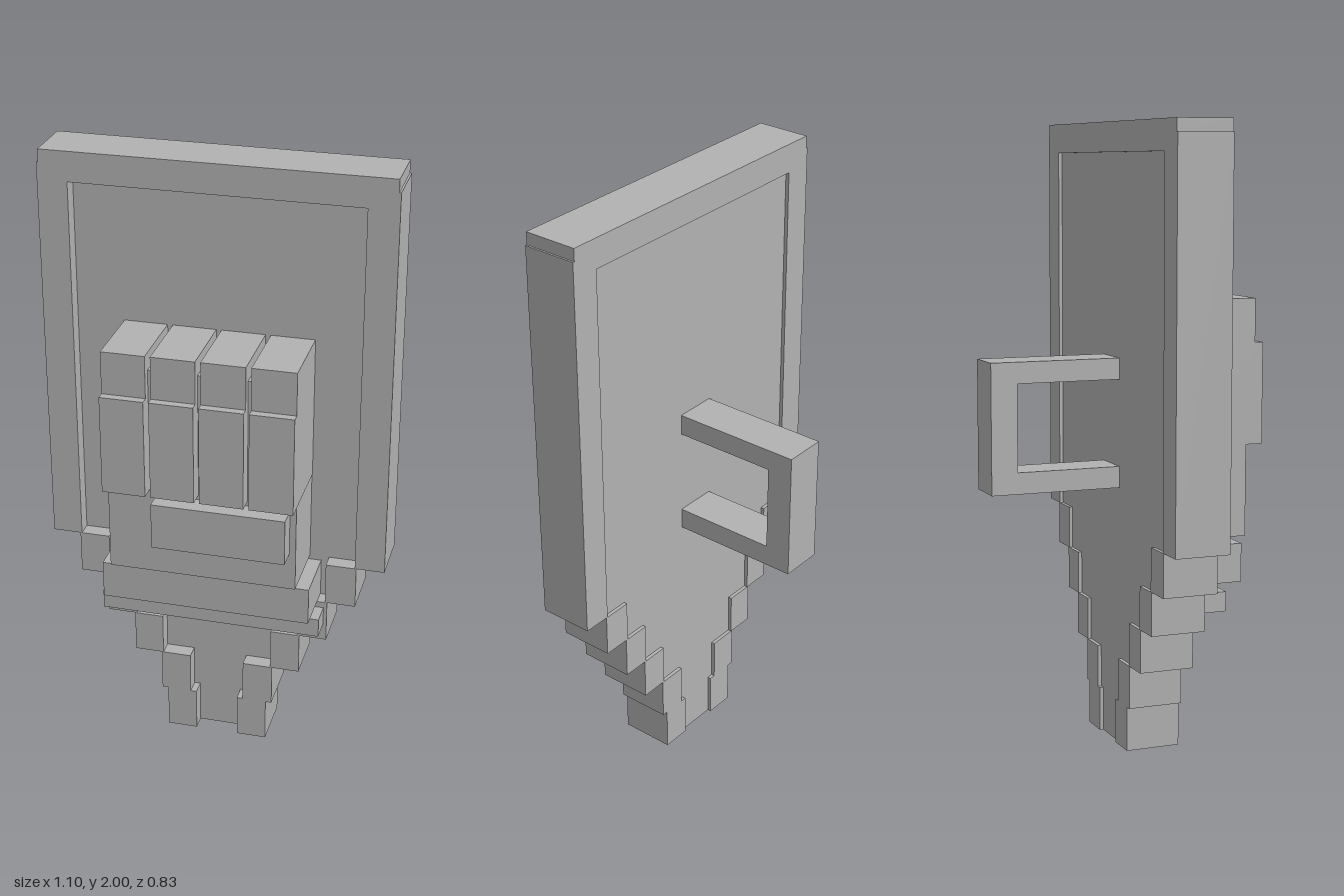
import * as THREE from 'three';

export function createModel() {
  const model = new THREE.Group();
  const grey = new THREE.MeshStandardMaterial({ color: 0xb2b2b2 });

  const add = (name, geometry, parent = model) => {
    const mesh = new THREE.Mesh(geometry, grey);
    mesh.name = name;
    parent.add(mesh);
    return mesh;
  };
  // Box from its minimum and maximum on each axis
  const block = (name, x0, x1, y0, y1, z0, z1, parent) =>
    add(name, new THREE.BoxGeometry(x1 - x0, y1 - y0, z1 - z0), parent)
      .position.set((x0 + x1) / 2, (y0 + y1) / 2, (z0 + z1) / 2);
  const plate = (name, points, z0, z1) => {
    const shape = new THREE.Shape(points.map(([x, y]) => new THREE.Vector2(x, y)));
    add(name, new THREE.ExtrudeGeometry(shape, { depth: z1 - z0, bevelEnabled: false }).translate(0, 0, z0));
  };
  const mirror = (points) => points.map(([x, y]) => [-x, y]).reverse();

  // Stepped rows of the shield, bottom to top: y0, y1, inner x, outer x
  const rows = [
    [0, 0.145, 0.07, 0.168],
    [0.145, 0.285, 0.09, 0.188],
    [0.285, 0.425, 0.183, 0.278],
    [0.425, 0.565, 0.272, 0.367],
    [0.565, 0.705, 0.36, 0.458],
    [0.705, 1.905, 0.453, 0.548],
  ];
  const inner = rows.flatMap(([y0, y1, x]) => [[x, y0], [x, y1]]);
  const outer = rows.flatMap(([y0, y1, , x]) => [[x, y0], [x, y1]]);
  outer[outer.length - 1] = [0.548, 1.96];
  outer.push([0.542, 1.96], [0.542, 2]);

  // Raised rim running around the shield, open at the bottom tip
  plate('shieldRim', [...outer, ...mirror(outer), ...mirror(inner).reverse(), ...[...inner].reverse()], 0, 0.18);
  // Recessed panel inside the rim
  plate('shieldPanel', [...inner, ...mirror(inner)], 0.012, 0.13);

  // Fist emblem: palm, four fingers with a stepped knuckle, thumb
  const fist = new THREE.Group();
  fist.name = 'fist';
  model.add(fist);
  block('palm', -0.3, 0.298, 0.705, 1.4, 0.13, 0.348, fist);
  for (let i = 0; i < 4; i++) {
    const x = -0.302 + i * 0.1545;
    block('knuckle', x, x + 0.138, 1.318, 1.456, 0.13, 0.375, fist);
    block('finger', x, x + 0.138, 0.997, 1.318, 0.13, 0.402, fist);
  }
  block('thumb', -0.143, 0.278, 0.83, 0.98, 0.33, 0.416, fist);

  // Wrist bands below the fist
  block('upperWristBand', -0.337, 0.335, 0.567, 0.69, 0.13, 0.318);
  block('lowerWristBand', -0.36, 0.356, 0.482, 0.545, 0.13, 0.255);

  // Grip on the back
  const handle = new THREE.Group();
  handle.name = 'handle';
  model.add(handle);
  block('handleGrip', -0.071, 0.069, 0.843, 1.26, -0.416, -0.33, handle);
  block('handleLowerArm', -0.071, 0.069, 0.843, 0.912, -0.33, 0.03, handle);
  block('handleUpperArm', -0.071, 0.069, 1.192, 1.26, -0.33, 0.03, handle);

  return model;
}
